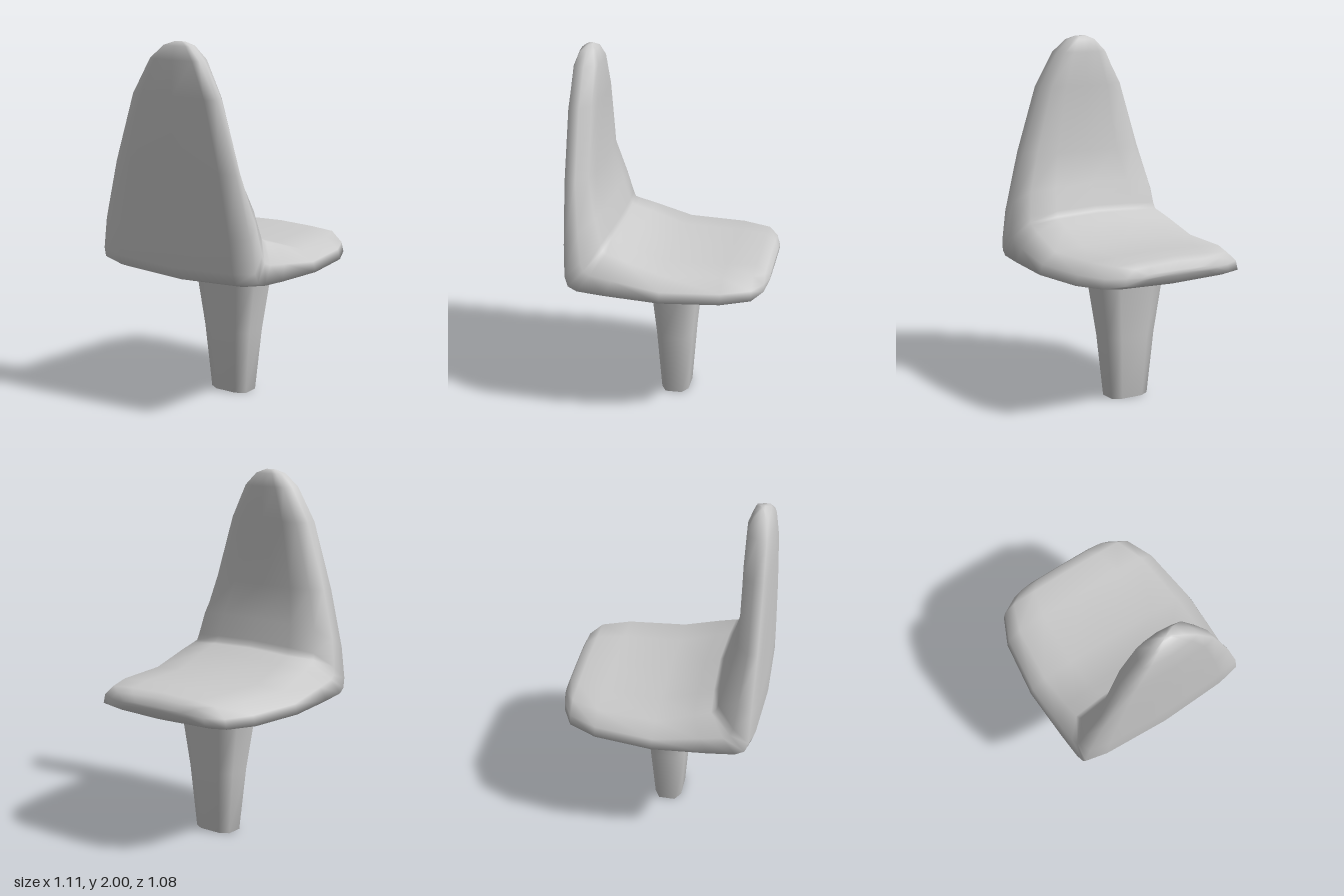
import * as THREE from 'three';

const material = new THREE.MeshStandardMaterial({ color: 0xcccccc });

// Smooth closed skin over equal-length rings of points, capped at both ends.
// Rings run counter-clockwise about the direction of travel.
function loft(name, rings) {
  const n = rings[0].length;
  const points = rings.flat();
  const index = [];
  for (let i = 0; i < rings.length - 1; i++) {
    for (let j = 0; j < n; j++) {
      const k = (j + 1) % n;
      const a = i * n + j, b = i * n + k, c = b + n, d = a + n;
      index.push(a, b, c, a, c, d);
    }
  }
  // End caps as fans around the ring centres
  for (const end of [0, rings.length - 1]) {
    const centre = new THREE.Vector3();
    rings[end].forEach((p) => centre.addScaledVector(p, 1 / n));
    const c = points.push(centre) - 1;
    for (let j = 0; j < n; j++) {
      const a = end * n + j, b = end * n + (j + 1) % n;
      if (end === 0) index.push(c, b, a);
      else index.push(c, a, b);
    }
  }
  const geometry = new THREE.BufferGeometry().setFromPoints(points);
  geometry.setIndex(index);
  geometry.computeVertexNormals();
  const mesh = new THREE.Mesh(geometry, material);
  mesh.name = name;
  return mesh;
}

// Half section of the shell: [fraction of half width, depth from underside to sitting side]
const half = [[0, 0], [0.75, 0.06], [1, 0.15], [0.97, 0.5], [0.82, 0.88], [0.5, 0.95], [0, 1]];
const section = [...half, ...half.slice(1, -1).reverse().map(([u, t]) => [-u, t])];

// Stations from the seat's front edge round the bend to the top of the backrest:
// [outer x, outer y, inner x, inner y, half width]
const stations = [
  [0.55, 0.80, 0.55, 0.83, 0.24],
  [0.53, 0.76, 0.53, 0.872, 0.33],
  [0.475, 0.74, 0.475, 0.89, 0.43],
  [0.32, 0.735, 0.32, 0.893, 0.50],
  [0, 0.735, 0, 0.893, 0.54],
  [-0.32, 0.735, -0.20, 0.97, 0.527],
  [-0.48, 0.74, -0.28, 1.00, 0.517],
  [-0.535, 0.762, -0.30, 1.01, 0.507],
  [-0.555, 0.82, -0.31, 1.04, 0.50],
  [-0.555, 1.00, -0.345, 1.16, 0.475],
  [-0.555, 1.35, -0.40, 1.35, 0.39],
  [-0.555, 1.72, -0.40, 1.72, 0.27],
  [-0.545, 1.91, -0.405, 1.91, 0.16],
  [-0.52, 1.98, -0.43, 1.98, 0.085],
  [-0.49, 2.0, -0.46, 2.0, 0.03],
];

// Chamfered rectangle outline of the pedestal, anticlockwise seen from above
const outline = [[0.6, 1], [1, 0.55], [1, -0.55], [0.6, -1], [-0.6, -1], [-1, -0.55], [-1, 0.55], [-0.6, 1]];

// [height, half size in x, half size in z]
const pedestalLevels = [[0, 0.077, 0.117], [0.36, 0.103, 0.152], [0.72, 0.137, 0.205], [0.78, 0.142, 0.212]];

export function createModel() {
  const chair = new THREE.Group();
  chair.name = 'pedestalChair';

  // Seat and backrest in one moulded shell
  chair.add(loft('seatShell', stations.map(([ox, oy, ix, iy, w]) =>
    section.map(([u, t]) => new THREE.Vector3(
      THREE.MathUtils.lerp(ox, ix, t), THREE.MathUtils.lerp(oy, iy, t), u * w)))));

  // Tapered pedestal leg
  chair.add(loft('pedestal', pedestalLevels.map(([y, rx, rz]) =>
    outline.map(([x, z]) => new THREE.Vector3(x * rx, y, z * rz)))));

  return chair;
}
